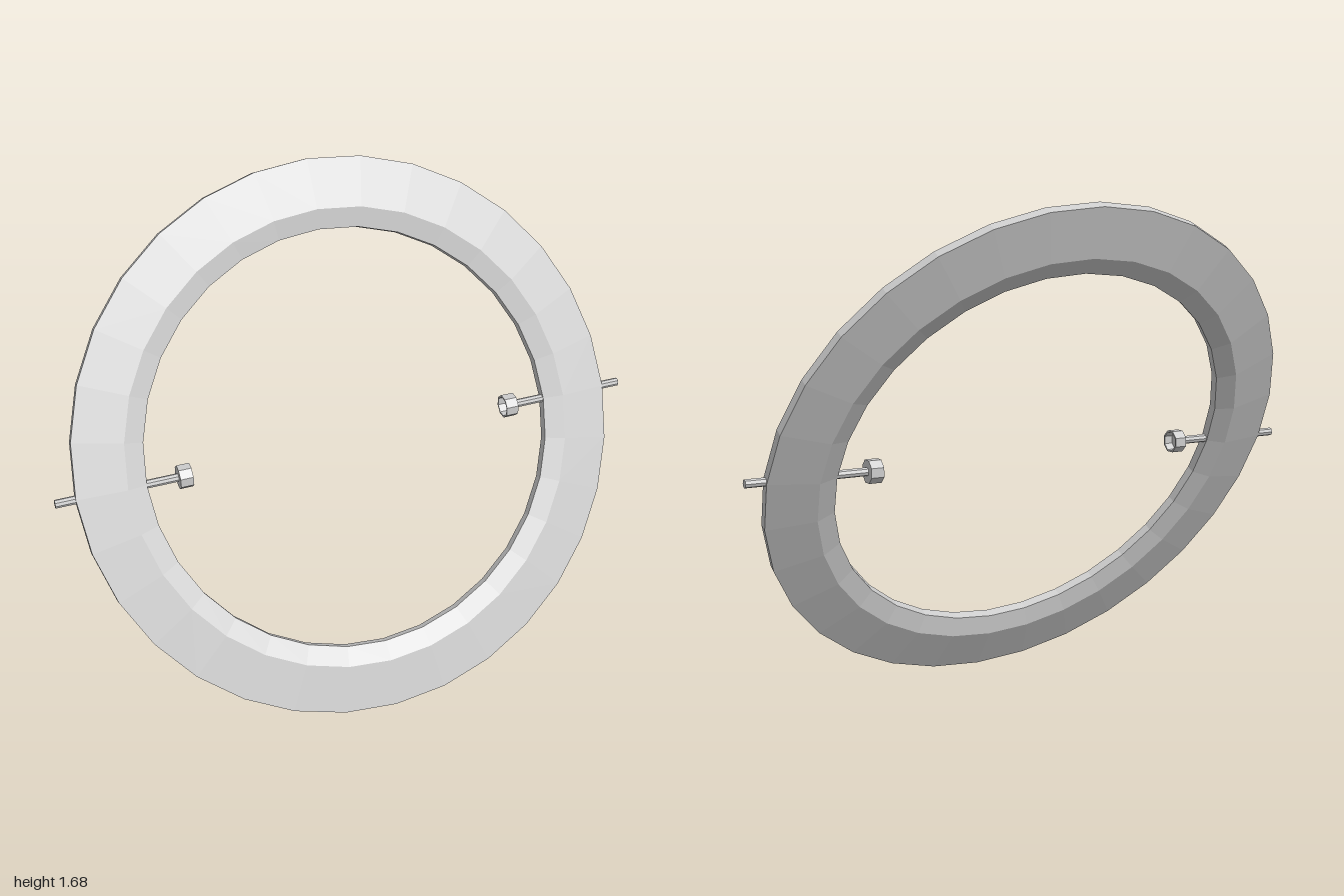
import * as THREE from 'three';

const CENTRE_Y = 0.84;
const material = new THREE.MeshStandardMaterial({ color: 0xcccccc, flatShading: true, side: THREE.DoubleSide });

function lathe(name, profile, sides, phase = 0) {
  const points = profile.map(([r, y]) => new THREE.Vector2(r, y));
  const mesh = new THREE.Mesh(new THREE.LatheGeometry(points, sides, phase), material);
  mesh.name = name;
  return mesh;
}

// Pivot pin: thin shaft through the rim with a hollow octagonal head inside
function makePin(name) {
  const pin = new THREE.Group();
  pin.name = name;

  const shaft = new THREE.Mesh(new THREE.CylinderGeometry(0.014, 0.014, 0.41, 8), material);
  shaft.name = 'pinShaft';
  shaft.geometry.rotateZ(Math.PI / 2);
  shaft.position.x = 0.795;

  const head = lathe('pinHead', [
    [0, 0], [0.04, 0], [0.04, 0.043], [0.034, 0.043], [0.034, 0.012], [0, 0.012],
  ], 8, Math.PI / 8);
  head.geometry.rotateZ(Math.PI / 2);
  head.position.x = 0.599;

  pin.add(shaft, head);
  pin.position.y = CENTRE_Y;
  return pin;
}

export function createModel() {
  const model = new THREE.Group();
  model.name = 'tiltedRing';

  // Ring: thickest at a crest near the inner edge, tapering to the outer rim
  const ring = lathe('ring', [
    [0.935, -0.016], [0.935, 0.016], [0.77, 0.039], [0.705, 0.016],
    [0.705, -0.016], [0.77, -0.039], [0.935, -0.016],
  ], 32);
  ring.rotation.x = THREE.MathUtils.degToRad(62.9);
  ring.position.y = CENTRE_Y;
  model.add(ring);

  // Opposed pins on the tilt axis
  const leftPin = makePin('leftPin');
  const rightPin = makePin('rightPin');
  rightPin.rotation.y = Math.PI;
  model.add(leftPin, rightPin);

  return model;
}
